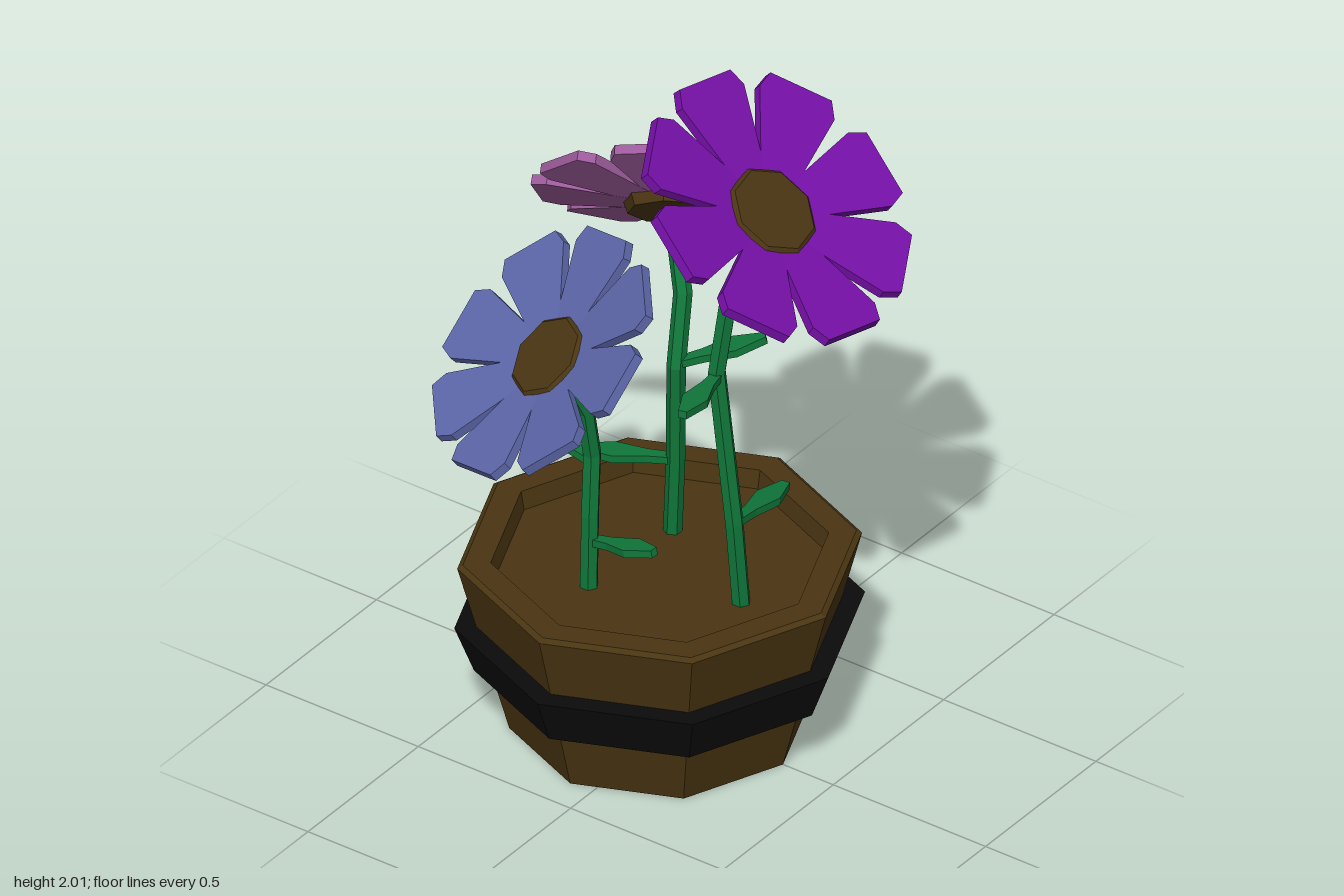
import * as THREE from 'three';

const mat = (name, color, side = THREE.FrontSide) => {
  const m = new THREE.MeshStandardMaterial({ color, flatShading: true, side });
  m.name = name;
  return m;
};

const v = (p) => new THREE.Vector3(...p);

function mesh(name, geometry, material) {
  const m = new THREE.Mesh(geometry, material);
  m.name = name;
  return m;
}

// Eight-sided turned part with corners on the axes
const turned = (points) =>
  new THREE.LatheGeometry(points.map(([x, y]) => new THREE.Vector2(x, y)), 8);

// Flat plate lying in xz, pointing along +x, mirrored from a half outline
function plate(half, thickness) {
  const mirrored = half.map(([x, y]) => [x, -y]).reverse();
  const shape = new THREE.Shape([...half, ...mirrored].map(([x, y]) => new THREE.Vector2(x, y)));
  const g = new THREE.ExtrudeGeometry(shape, { depth: thickness, bevelEnabled: false });
  g.translate(0, 0, -thickness / 2);
  g.rotateX(-Math.PI / 2);
  return g;
}

export function createModel() {
  const brown = mat('brown', 0x4a3512);
  const black = mat('black', 0x0b0b0b);
  const green = mat('green', 0x10773a, THREE.DoubleSide);
  const purple = mat('purple', 0x7610a8);
  const blue = mat('blue', 0x5c66a8);
  const pink = mat('pink', 0x9c5a9a);

  const model = new THREE.Group();
  model.name = 'flowerPot';

  // Pot with a sunken soil surface, and the band around it
  const pot = new THREE.Group();
  pot.name = 'pot';
  pot.position.z = -0.07;
  pot.add(mesh('potBody', turned([
    [0, 0], [0.405, 0], [0.545, 0.525], [0.53, 0.535], [0.455, 0.535], [0.445, 0.48], [0, 0.48],
  ]), brown));
  pot.add(mesh('band', turned([
    [0.44, 0.195], [0.5, 0.195], [0.553, 0.335], [0.47, 0.335],
  ]), black));
  model.add(pot);

  // Shared flower parts
  const petalShape = plate([[0.1, 0.05], [0.35, 0.116], [0.4, 0.095]], 0.03);
  petalShape.rotateZ(0.14);
  const discShape = turned([[0, -0.03], [0.13, -0.03], [0.148, 0.02], [0.123, 0.042], [0, 0.042]]);

  function flower(name, { at, normal, scale, phase, material }) {
    const g = new THREE.Group();
    g.name = name;
    const disc = mesh('flowerCentre', discShape, brown);
    disc.rotation.y = -phase;
    g.add(disc);
    for (let i = 0; i < 8; i++) {
      const petal = mesh('petal', petalShape, material);
      petal.rotation.y = -(phase + (i * Math.PI) / 4);
      g.add(petal);
    }
    g.position.set(...at);
    g.scale.setScalar(scale);
    g.quaternion.setFromUnitVectors(new THREE.Vector3(0, 1, 0), v(normal).normalize());
    return g;
  }

  // Six-sided stem with a ring of corners at every bend
  function stem(points) {
    const curve = new THREE.CatmullRomCurve3(points.map(v));
    curve.getPointAt = (t) => curve.getPoint(t);
    curve.getTangentAt = (t) => curve.getTangent(t);
    return mesh('stem', new THREE.TubeGeometry(curve, points.length - 1, 0.026, 6), green);
  }

  // Leaf blade stretched between two points
  function leaf(from, to) {
    const a = v(from), dir = v(to).sub(a), len = dir.length();
    const g = plate([[0, 0.014], [len * 0.3, 0.018], [len * 0.65, 0.036], [len, 0.012]], 0.022);
    const m = mesh('leaf', g, green);
    const x = dir.normalize();
    const z = new THREE.Vector3().crossVectors(x, new THREE.Vector3(0, 1, 0)).normalize();
    const y = new THREE.Vector3().crossVectors(z, x);
    m.quaternion.setFromRotationMatrix(new THREE.Matrix4().makeBasis(x, y, z));
    m.position.copy(a);
    return m;
  }

  const plants = [
    {
      name: 'purpleFlower', material: purple, scale: 1, phase: 0.21,
      at: [0.03, 1.71, 0.26], normal: [0, 0.79, 0.61],
      stem: [[-0.015, 0.46, 0.21], [-0.034, 0.74, 0.2], [-0.034, 1.2, 0.142],
        [-0.01, 1.44, 0.165], [0.025, 1.7, 0.255]],
      leaves: [[[-0.03, 0.74, 0.2], [0.24, 0.7, 0.17]], [[-0.03, 1.19, 0.145], [-0.27, 1.215, 0.2]]],
    },
    {
      name: 'blueFlower', material: blue, scale: 0.92, phase: 0.2,
      at: [-0.27, 1.22, -0.22], normal: [-0.58, 0.72, -0.36],
      stem: [[-0.19, 0.46, -0.165], [-0.18, 0.7, -0.168], [-0.157, 0.88, -0.178],
        [-0.18, 1.03, -0.183], [-0.265, 1.215, -0.215]],
      leaves: [[[-0.16, 0.86, -0.18], [-0.18, 0.95, -0.44]], [[-0.18, 0.62, -0.165], [-0.19, 0.67, 0.05]]],
    },
    {
      name: 'pinkFlower', material: pink, scale: 0.92, phase: 0.35,
      at: [0.29, 1.417, -0.24], normal: [0.62, 0.66, -0.43],
      stem: [[0.155, 0.46, -0.14], [0.148, 0.72, -0.125], [0.13, 1.03, -0.11],
        [0.195, 1.22, -0.135], [0.285, 1.41, -0.235]],
      leaves: [[[0.13, 1.04, -0.11], [0.29, 1.105, 0.07]], [[0.15, 0.715, -0.13], [0.03, 0.725, -0.35]]],
    },
  ];

  for (const p of plants) {
    const plant = new THREE.Group();
    plant.name = p.name;
    plant.add(flower('flowerHead', p), stem(p.stem));
    for (const [from, to] of p.leaves) plant.add(leaf(from, to));
    model.add(plant);
  }
  return model;
}
